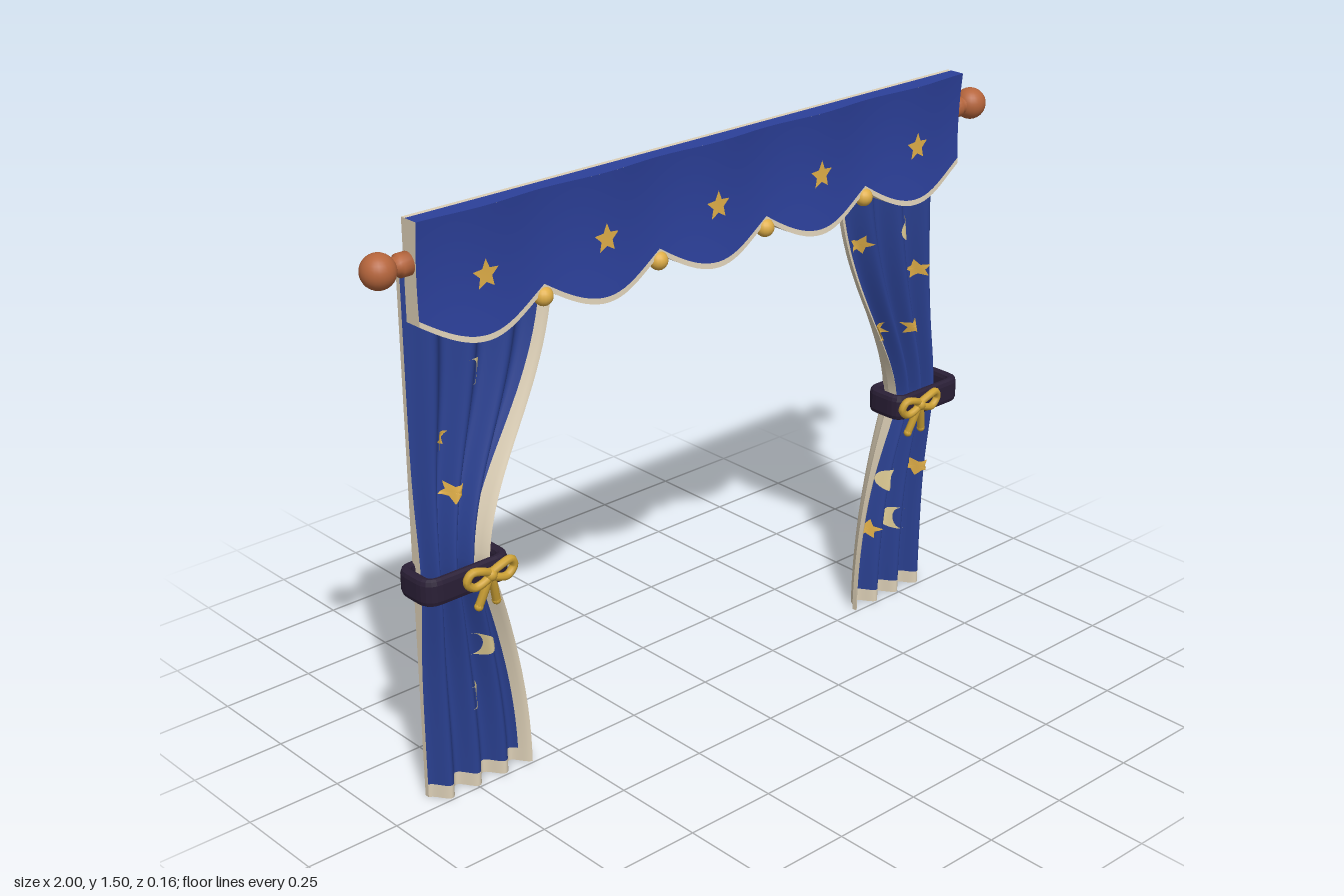
import * as THREE from 'three';

const mat = (name, color) => {
  const m = new THREE.MeshStandardMaterial({ color, side: THREE.DoubleSide });
  m.name = name;
  return m;
};
const blue = mat('royal blue cloth', 0x2c409a);
const deepBlue = mat('deep blue cloth', 0x2a4090);
const cream = mat('cream lining', 0xdccfb6);
const gold = mat('gold', 0xdfae48);
const cordGold = mat('gold cord', 0xd0a436);
const pale = mat('pale gold', 0xdecb94);
const wood = mat('terracotta wood', 0xb5653c);
const purple = mat('dark purple band', 0x2a1f36);

const lerp = THREE.MathUtils.lerp;
const ease = (t) => t * t * (3 - 2 * t);

// Surface from a rule f(u, v) -> [x, y, z]; u runs right and v up as seen from its front
function surface(f, nu, nv, flip = false) {
  const pos = [], idx = [];
  for (let j = 0; j <= nv; j++)
    for (let i = 0; i <= nu; i++) pos.push(...f(i / nu, j / nv));
  for (let j = 0; j < nv; j++)
    for (let i = 0; i < nu; i++) {
      const a = j * (nu + 1) + i, b = a + 1, c = a + nu + 1, d = c + 1;
      if (flip) idx.push(a, d, b, a, c, d);
      else idx.push(a, b, d, a, d, c);
    }
  const g = new THREE.BufferGeometry();
  g.setAttribute('position', new THREE.Float32BufferAttribute(pos, 3));
  g.setIndex(idx);
  g.computeVertexNormals();
  return g;
}

function add(parent, name, geometry, material, x = 0, y = 0, z = 0) {
  const m = new THREE.Mesh(geometry, material);
  m.name = name;
  m.position.set(x, y, z);
  parent.add(m);
  return m;
}

// Flat ornaments laid on a cloth whose depth is zAt(x, y)
const LIFT = 0.008;
function star(parent, x, y, r, zAt, turn = 0) {
  const point = (n) => {
    const a = Math.PI / 2 + turn + (n * Math.PI) / 5, q = n % 2 ? r * 0.47 : r;
    return [q * Math.cos(a), q * Math.sin(a)];
  };
  const f = (u, v) => {
    const k = u * 10, i = Math.floor(k), t = k - i, s = 1 - v;
    const a = point(i), b = point(i + 1);
    const px = x + s * lerp(a[0], b[0], t), py = y + s * lerp(a[1], b[1], t);
    return [px, py, zAt(px, py) + LIFT];
  };
  add(parent, 'star', surface(f, 20, 5, true), gold);
}
function moon(parent, x, y, r, zAt, side) {
  const tip = Math.cos(2.3);
  const f = (u, v) => {
    const a = lerp(-2.3, 2.3, u), outer = Math.cos(a), bulge = 1 - (2 * u - 1) ** 2;
    const inner = Math.min(outer, lerp(tip, 0.2, bulge));
    const px = x + side * r * lerp(outer, inner, v);
    const py = y + r * Math.sin(a) * lerp(1, 0.85, v * (1 - Math.abs(2 * u - 1)));
    return [px, py, zAt(px, py) + LIFT];
  };
  add(parent, 'moon', surface(f, 24, 6, side > 0), pale);
}

// Scalloped valance
const W = 0.88, TOP = 1.5, BACK = -0.015;
const scallop = (x) => 1.255 - 0.072 * Math.abs(Math.sin((Math.PI * (x + W)) / 0.352));
const valanceZ = (x, y) =>
  0.035 + 0.005 * Math.cos((2 * Math.PI * x) / 0.352) + 0.009 * ((y - 1.35) / 0.15) ** 2;

function valance() {
  const g = new THREE.Group();
  g.name = 'valance';
  const X = (u) => lerp(-W, W, u);
  const front = (lo, hi) => (u, v) => {
    const x = X(u), y = lerp(lo(x), hi(x), v);
    return [x, y, valanceZ(x, y)];
  };
  const trimTop = (x) => scallop(x) + 0.014;
  add(g, 'valanceFront', surface(front(trimTop, () => TOP), 100, 12), blue);
  add(g, 'valanceTrim', surface(front(scallop, trimTop), 100, 1), cream);
  add(g, 'valanceLining', surface((u, v) => [X(u), lerp(scallop(X(u)), TOP, v), BACK], 100, 2, true), cream);
  add(g, 'valanceTopFront', surface((u, v) => [X(u), TOP, lerp(valanceZ(X(u), TOP), -0.002, v)], 60, 1), blue);
  add(g, 'valanceTopBack', surface((u, v) => [X(u), TOP, lerp(-0.002, BACK, v)], 1, 1), cream);
  add(g, 'valanceUnderside', surface((u, v) => {
    const x = X(u), y = scallop(x);
    return [x, y, lerp(BACK, valanceZ(x, y), v)];
  }, 100, 1), cream);
  for (const s of [-1, 1])
    add(g, 'valanceEnd', surface((u, v) => {
      const y = lerp(scallop(W), TOP, v);
      return [s * W, y, lerp(valanceZ(W, y), BACK, u)];
    }, 1, 12, s < 0), cream);
  for (let i = -2; i <= 2; i++) star(g, i * 0.352, 1.34, 0.038, valanceZ);
  for (const x of [-0.528, -0.176, 0.176, 0.528])
    add(g, 'bead', new THREE.SphereGeometry(0.024, 16, 12), gold, x, 1.238, 0.027);
  return g;
}

// Curtain outline: straight outside, gathered inside at the tie
const OUT = 0.87, TIE = 0.6, HEAD = 1.39, HEM = 0.036;
function innerX(y) {
  if (y > TIE) return lerp(0.47, 0.7, ease(Math.min(1, Math.max(0, (HEAD - y) / (HEAD - TIE)) ** 1.35)));
  return lerp(0.7, 0.58, 1 - (y / TIE) ** 2);
}
// Pleats start at the back on the outer edge and end at the front on the inner edge
const pleat = (u) => -0.021 * Math.cos(u * 7 * Math.PI);
const frontZ = (u, y) => -0.027 + pleat(u) + 0.018 * Math.exp(-(((y - TIE) / 0.18) ** 2));
const backZ = (u) => -0.04 + pleat(u);
const curtainZ = (x, y) => frontZ((OUT - Math.abs(x)) / (OUT - innerX(y)), y);

function curtain(s) {
  const g = new THREE.Group();
  g.name = s > 0 ? 'leftCurtain' : 'rightCurtain';
  const flip = s > 0;
  const at = (u, y, t) => [s * lerp(OUT, innerX(y), u), y, lerp(backZ(u), frontZ(u, y), t)];
  const trimU = (y) => 1 - 0.024 / (OUT - innerX(y));
  add(g, 'curtainFront', surface((u, v) => {
    const y = lerp(HEM, HEAD, v);
    return at(u * trimU(y), y, 1);
  }, 70, 48, flip), deepBlue);
  add(g, 'curtainTrim', surface((u, v) => {
    const y = lerp(HEM, HEAD, v);
    return at(lerp(trimU(y), 1, u), y, 1);
  }, 4, 48, flip), cream);
  add(g, 'curtainHem', surface((u, v) => at(u, v * HEM, 1), 70, 1, flip), cream);
  add(g, 'curtainLining', surface((u, v) => at(u, v * HEAD, 0), 70, 48, !flip), cream);
  for (const u of [0, 1])
    add(g, 'curtainEdge', surface((t, v) => at(u, v * HEAD, t), 1, 48, (u === 0) === flip), cream);
  for (const y of [0, HEAD])
    add(g, 'curtainEnd', surface((u, t) => at(u, y, t), 70, 1, (y === 0) !== flip), cream);
  return g;
}

// Hollow tie band with rounded corners
function roundRect(path, w, h, r) {
  path.moveTo(-w + r, -h);
  path.lineTo(w - r, -h).quadraticCurveTo(w, -h, w, -h + r);
  path.lineTo(w, h - r).quadraticCurveTo(w, h, w - r, h);
  path.lineTo(-w + r, h).quadraticCurveTo(-w, h, -w, h - r);
  path.lineTo(-w, -h + r).quadraticCurveTo(-w, -h, -w + r, -h);
  return path;
}
function tieBack(s) {
  const g = new THREE.Group();
  g.name = 'tieBack';
  const ring = roundRect(new THREE.Shape(), 0.116, 0.056, 0.035);
  ring.holes.push(roundRect(new THREE.Path(), 0.108, 0.05, 0.028));
  const band = new THREE.ExtrudeGeometry(ring, {
    depth: 0.042, bevelThickness: 0.014, bevelSize: 0.01, bevelSegments: 2, curveSegments: 5,
  });
  band.rotateX(-Math.PI / 2);
  add(g, 'band', band, purple, s * 0.788, 0.583, -0.01);
  add(g, 'bandBackStrip', new THREE.BoxGeometry(0.14, 0.011, 0.006), wood, s * 0.788, 0.606, -0.075);

  // Bow of cord: two loops, two tails and a knot
  const bow = new THREE.Group();
  bow.name = 'bow';
  bow.position.set(s * 0.737, 0.607, 0.062);
  g.add(bow);
  const cord = (pts, closed, n) => new THREE.TubeGeometry(
    new THREE.CatmullRomCurve3(pts.map((p) => new THREE.Vector3(...p)), closed), n, 0.0105, 8, closed);
  for (const k of [-1, 1]) {
    add(bow, 'bowLoop', cord([[0, 0, 0], [k * 0.03, 0.02, 0.006], [k * 0.058, 0.023, 0.004],
      [k * 0.069, 0.002, 0], [k * 0.05, -0.018, 0], [k * 0.022, -0.013, 0.002]], true, 28), cordGold);
    add(bow, 'bowTail', cord([[0, 0, 0], [k * 0.012, -0.035, -0.006], [k * 0.026, -0.082, -0.016]], false, 10), cordGold);
    add(bow, 'tailTip', new THREE.SphereGeometry(0.0115, 10, 8), cordGold, k * 0.026, -0.082, -0.016);
  }
  add(bow, 'knot', new THREE.SphereGeometry(0.017, 12, 10), cordGold);
  return g;
}

// Rod with ball finials
function rod() {
  const g = new THREE.Group();
  g.name = 'curtainRod';
  g.position.y = 1.397;
  add(g, 'rod', new THREE.CylinderGeometry(0.02, 0.02, 1.8, 20).rotateZ(Math.PI / 2), wood);
  const neck = [[0, 0], [0.028, 0], [0.028, 0.035], [0.022, 0.04], [0.022, 0.055], [0.027, 0.06], [0.027, 0.075]]
    .map((p) => new THREE.Vector2(...p));
  for (const s of [-1, 1]) {
    add(g, 'finialNeck', new THREE.LatheGeometry(neck, 20).rotateZ((-s * Math.PI) / 2), wood, s * 0.87);
    add(g, 'finialBall', new THREE.SphereGeometry(0.042, 24, 16), wood, s * 0.958);
  }
  return g;
}

export function createModel() {
  const model = new THREE.Group();
  model.name = 'curtains';
  model.add(rod(), valance());
  for (const s of [-1, 1]) model.add(curtain(s), tieBack(s));

  // Scattered stars and moons on the curtains
  const ornaments = new THREE.Group();
  ornaments.name = 'ornaments';
  model.add(ornaments);
  const stars = [[-0.8, 0.945], [-0.78, 0.81], [0.58, 1.08], [0.8, 0.96],
    [0.66, 0.815], [0.77, 0.81], [0.82, 0.37], [0.645, 0.225]];
  stars.forEach(([x, y], i) => star(ornaments, x, y, 0.029, curtainZ, i * 0.5));
  const moons = [[-0.71, 1.095, 1], [-0.72, 0.38, 1], [-0.75, 0.255, 1],
    [0.74, 1.095, -1], [0.7, 0.37, -1], [0.74, 0.235, -1]];
  for (const [x, y, side] of moons) moon(ornaments, x, y, 0.032, curtainZ, side);
  return model;
}
